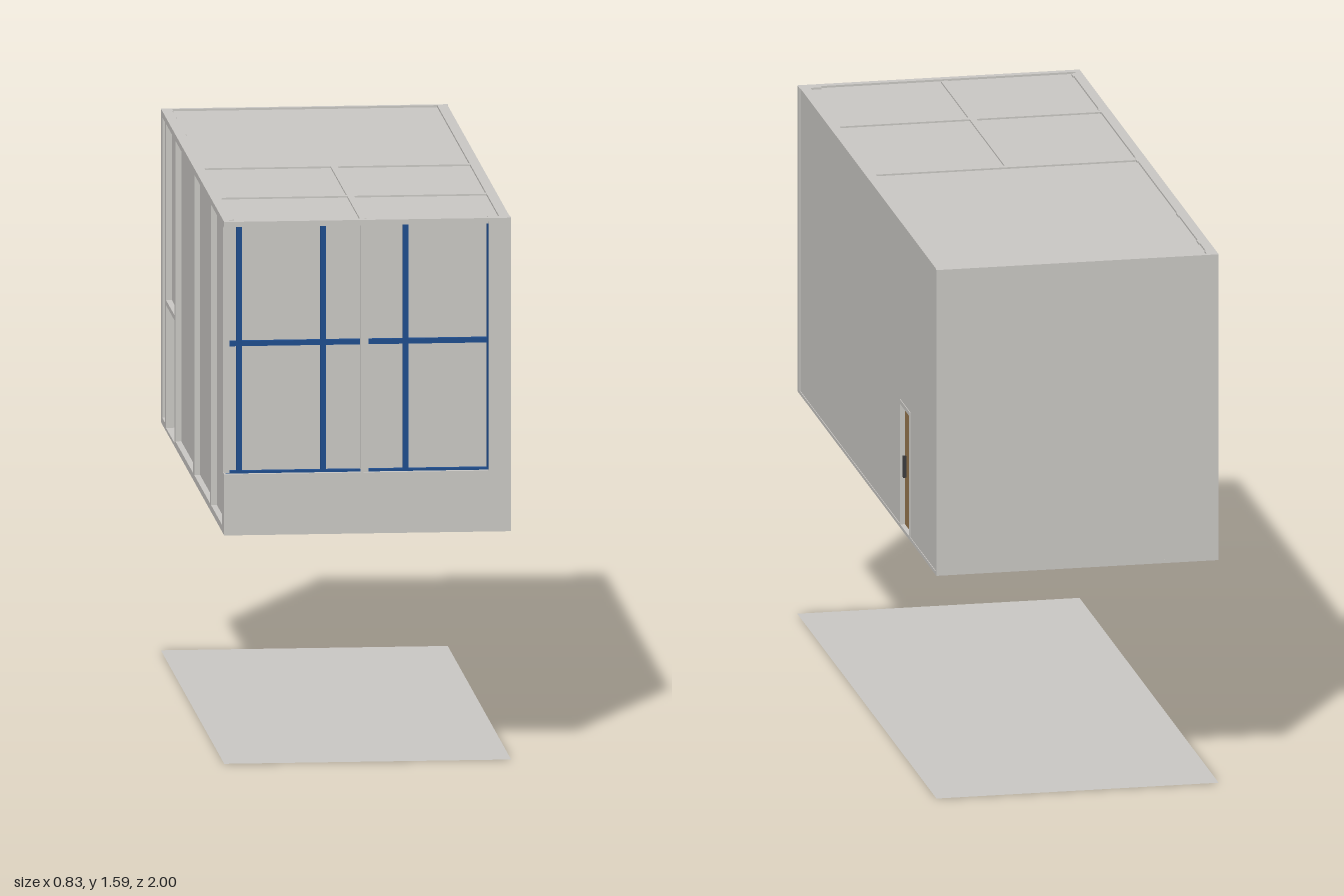
import * as THREE from 'three';

export function createModel() {
  const group = new THREE.Group();
  const material = (name, color, extra = {}) =>
    Object.assign(new THREE.MeshStandardMaterial({ color, ...extra }), { name });
  const plaster = material('plaster', 0xcccac6);
  const plasterSheet = plaster;
  plasterSheet.side = THREE.DoubleSide;
  const wood = material('wood', 0x98774f);
  const blue = material('blue frame', 0x1f4e8f);
  const metal = material('dark metal', 0x3c3c3e);

  // Box given by its limits on each axis
  const box = (name, mat, x0, x1, y0, y1, z0, z1) => {
    const mesh = new THREE.Mesh(new THREE.BoxGeometry(x1 - x0, y1 - y0, z1 - z0), mat);
    mesh.position.set((x0 + x1) / 2, (y0 + y1) / 2, (z0 + z1) / 2);
    mesh.name = name;
    group.add(mesh);
    return mesh;
  };

  const X = 0.417, BASE = 0.67, TOP = 1.59, CEIL = 1.584, SILL = 0.853;

  // Ground sheet below the raised room
  const ground = new THREE.Mesh(new THREE.PlaneGeometry(2 * X, 2), plasterSheet);
  ground.rotation.x = -Math.PI / 2;
  ground.name = 'groundSheet';
  group.add(ground);

  // Floor and ceiling
  box('floor', plaster, -X, X, BASE, BASE + 0.01, -1, 1);
  box('ceiling', plaster, -0.4, 0.385, CEIL - 0.012, CEIL, -0.985, 0.985);
  box('floorHatch', wood, -0.305, -0.215, BASE - 0.002, BASE + 0.03, -0.925, -0.815);

  // Back wall
  box('backWall', plaster, -X, X, BASE, TOP, -1, -0.985);

  // Left wall with a doorway
  const DZ0 = -0.615, DZ1 = -0.47, DTOP = 1.055;
  box('leftWallFront', plaster, 0.385, X - 0.002, BASE, TOP, DZ1, 0.99);
  box('leftWallBack', plaster, 0.385, X - 0.002, BASE, TOP, -0.985, DZ0);
  box('leftWallLintel', plaster, 0.385, X - 0.002, DTOP, TOP, DZ0, DZ1);

  // Door, frame and handle
  for (const z of [DZ0, DZ1 - 0.009]) box('doorJamb', plaster, 0.385, X, BASE, DTOP, z, z + 0.009);
  box('doorHead', plaster, 0.385, X, DTOP - 0.013, DTOP, DZ0, DZ1);
  box('doorLeaf', wood, 0.39, 0.403, BASE + 0.003, DTOP - 0.013, DZ0 + 0.009, DZ1 - 0.009);
  box('doorHandle', metal, 0.403, 0.412, 0.825, 0.89, -0.498, -0.491);

  // Front wall around the window
  box('frontParapet', plaster, -X, X, BASE, SILL - 0.004, 0.965, 1);
  box('frontPier', plaster, 0.352, X, SILL - 0.004, TOP, 0.965, 1);
  box('frontHead', plaster, -X, 0.352, 1.58, TOP, 0.985, 1);
  box('cornerPost', plaster, -X, -0.402, SILL, 1.58, 0.985, 1);
  box('windowPost', plaster, -0.02, 0.002, SILL - 0.004, 1.58, 0.965, 0.997);
  box('windowPane', plaster, -0.402, 0.352, SILL - 0.004, 1.58, 0.964, 0.968);

  // Blue glazing bars
  for (const x of [-0.372, -0.128, 0.112])
    box('windowMullion', blue, x - 0.008, x + 0.008, SILL, 1.577, 0.966, 0.984);
  for (const [x0, x1] of [[-0.412, -0.02], [0.002, 0.352]]) {
    box('windowTransom', blue, x0, x1, 1.222, 1.237, 0.966, 0.982);
    box('windowBottomRail', blue, x0, x1, SILL - 0.004, SILL + 0.003, 0.966, 0.984);
    box('windowTopRail', blue, x0, x1, 1.574, 1.58, 0.966, 0.984);
  }
  box('windowSideRail', blue, 0.349, 0.352, SILL, 1.577, 0.966, 0.984);

  // Right wall: posts with recessed panels between them
  const posts = [[-0.985, -0.955], [-0.872, -0.837], [-0.575, -0.54], [0.015, 0.055], [0.545, 0.585], [0.935, 0.96]];
  posts.forEach(([z0, z1], i) => {
    box('rightPost', plaster, -X, -0.385, BASE, TOP, z0, z1);
    if (i === posts.length - 1) return;
    const next = posts[i + 1][0];
    const doorway = i === 1;
    box('rightPanel', plaster, -0.4, -0.388, doorway ? DTOP : BASE, TOP, z1, next);
    if (doorway) box('doorwayHead', plaster, -X, -0.385, DTOP - 0.015, DTOP, z1, next);
    else box('rightBaseRail', plaster, -X, -0.4, BASE, BASE + 0.02, z1, next);
  });
  box('rightCornerPanel', plaster, -0.402, -0.39, BASE, TOP, 0.96, 0.968);

  // Inner partitions that rise slightly above the ceiling
  box('crossPartition', plaster, -0.4, 0.385, BASE, TOP - 0.001, 0.03, 0.05);
  box('crossPartition', plaster, -0.4, 0.385, BASE, TOP - 0.001, 0.55, 0.57);
  box('middlePartition', plaster, -0.02, 0, BASE, TOP - 0.001, 0.05, 0.965);

  // Roof rim
  box('roofRim', plaster, -X, -0.4, CEIL - 0.012, TOP, -0.985, 0.985);
  box('roofRim', plaster, -0.4, 0.385, CEIL - 0.012, TOP, 0.978, 0.985);

  return group;
}
